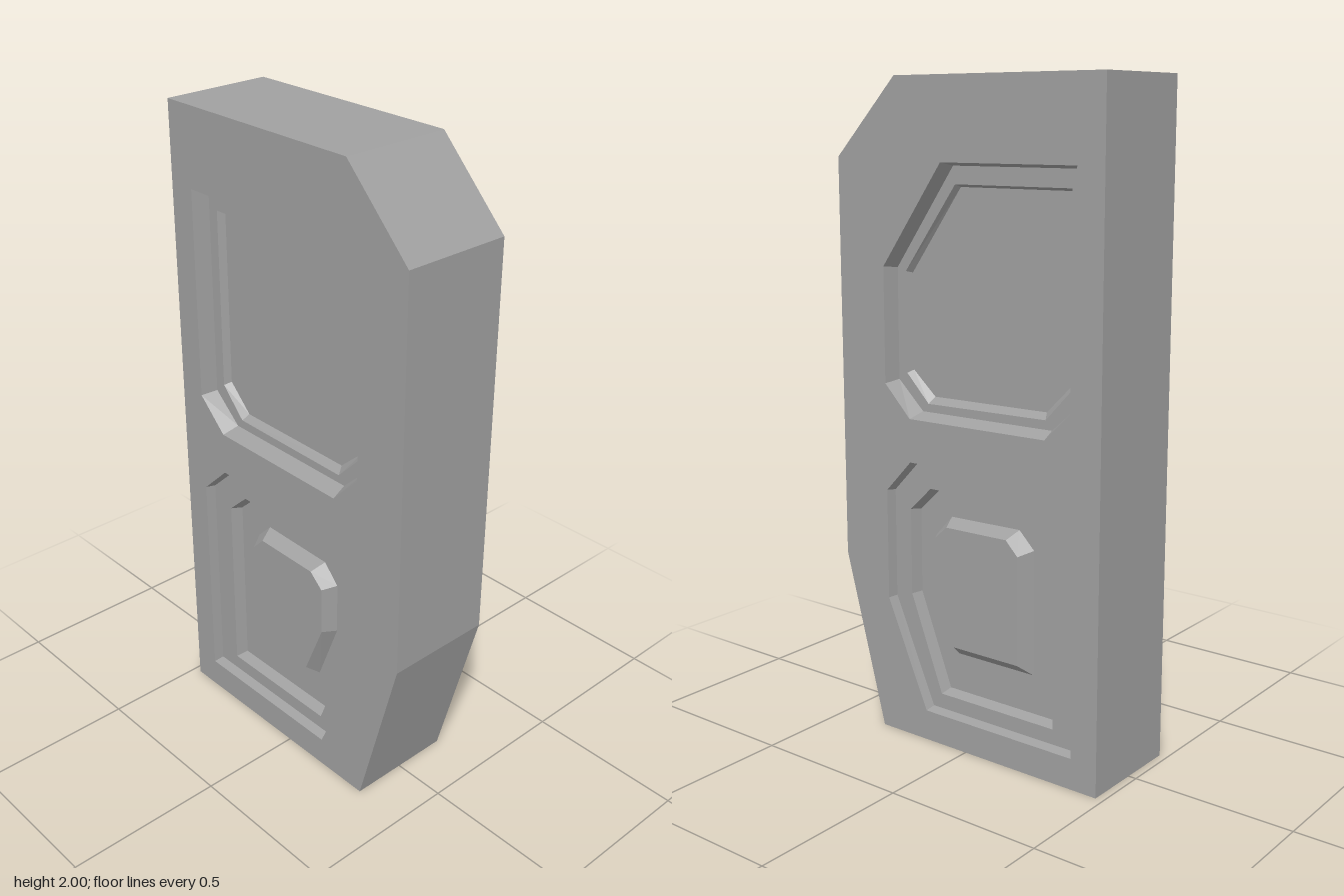
import * as THREE from 'three';

const HALF = 0.173; // half thickness of the slab

// Outlines run counter-clockwise seen from the front.
const OUTLINE = [[-.475, 0], [.33, 0], [.475, .545], [.475, 1.77], [.25, 2], [-.475, 2]];

// Each panel is a series of [depth below the face, outline], stepping inwards.
const UPPER = [
  [0, [[-.387, 1.11], [-.287, 1.013], [.207, 1.008], [.302, 1.105], [.302, 1.455], [.08, 1.76], [-.387, 1.76]]],
  [.05, [[-.373, 1.116], [-.277, 1.03], [.197, 1.025], [.29, 1.113], [.29, 1.45], [.074, 1.75], [-.373, 1.75]]],
  [.05, [[-.338, 1.146], [-.255, 1.057], [.175, 1.05], [.258, 1.135], [.258, 1.44], [.067, 1.698], [-.338, 1.698]]],
  [.07, [[-.325, 1.155], [-.245, 1.075], [.165, 1.07], [.248, 1.143], [.248, 1.435], [.062, 1.69], [-.325, 1.69]]],
];
const LOWER = [
  [0, [[-.387, .095], [.154, .095], [.302, .43], [.302, .775], [.207, .875], [-.287, .88], [-.387, .785]]],
  [.03, [[-.38, .103], [.149, .103], [.295, .432], [.295, .772], [.203, .868], [-.283, .872], [-.38, .782]]],
  [.03, [[-.302, .15], [.117, .15], [.233, .45], [.233, .72], [.154, .796], [-.228, .8], [-.302, .732]]],
  [.065, [[-.289, .161], [.109, .161], [.222, .452], [.222, .716], [.149, .785], [-.222, .789], [-.289, .727]]],
  // raised boss in the middle
  [.065, [[-.207, .281], [.074, .281], [.154, .488], [.154, .653], [.1, .711], [-.154, .716], [-.207, .663]]],
  [.02, [[-.18, .318], [.06, .318], [.133, .493], [.133, .647], [.085, .69], [-.138, .693], [-.18, .65]]],
];

// Band of quads between two outlines with equal corner counts.
function band(a, za, b, zb, flip) {
  const p = [];
  a.forEach((ai, i) => {
    const j = (i + 1) % a.length;
    const q = [[...ai, za], [...a[j], za], [...b[j], zb], [...b[i], zb]];
    for (const k of flip ? [0, 2, 1, 0, 3, 2] : [0, 1, 2, 0, 2, 3]) p.push(...q[k]);
  });
  const g = new THREE.BufferGeometry();
  g.setAttribute('position', new THREE.Float32BufferAttribute(p, 3));
  g.computeVertexNormals();
  return g;
}

// Flat plate filling an outline, with optional holes.
function plate(outline, z, flip, holes = []) {
  const vec = l => l.map(([x, y]) => new THREE.Vector2(x, y));
  const shape = new THREE.Shape(vec(outline));
  holes.forEach(h => shape.holes.push(new THREE.Path(vec(h))));
  const g = new THREE.ShapeGeometry(shape).toNonIndexed();
  const p = g.attributes.position;
  for (let i = 0; i < p.count; i++) p.setZ(i, z);
  if (flip) {
    for (let i = 0; i < p.count; i += 3) {
      const x = p.getX(i), y = p.getY(i);
      p.setXY(i, p.getX(i + 1), p.getY(i + 1));
      p.setXY(i + 1, x, y);
    }
  }
  g.computeVertexNormals();
  return g;
}

export function createModel() {
  const model = new THREE.Group();
  model.name = 'panelledSlab';
  const stone = new THREE.MeshStandardMaterial({ color: 0xa0a0a0, flatShading: true });
  stone.name = 'grey stone';

  const add = (parent, name, geometry) => {
    const mesh = new THREE.Mesh(geometry, stone);
    mesh.name = name;
    parent.add(mesh);
  };

  // rim around the slab
  add(model, 'slabEdge', band(OUTLINE, -HALF, OUTLINE, HALF, false));

  // front and back carry the same carved panels
  for (const [side, s] of [['front', 1], ['back', -1]]) {
    const flip = s < 0;
    add(model, side + 'Face', plate(OUTLINE, s * HALF, flip, [UPPER[0][1], LOWER[0][1]]));
    for (const [label, steps] of [['UpperPanel', UPPER], ['LowerPanel', LOWER]]) {
      const panel = new THREE.Group();
      panel.name = side + label;
      model.add(panel);
      const z = i => s * (HALF - steps[i][0]);
      for (let i = 1; i < steps.length; i++) {
        add(panel, 'step' + i, band(steps[i - 1][1], z(i - 1), steps[i][1], z(i), flip));
      }
      const last = steps.length - 1;
      add(panel, 'centre', plate(steps[last][1], z(last), flip));
    }
  }
  return model;
}
